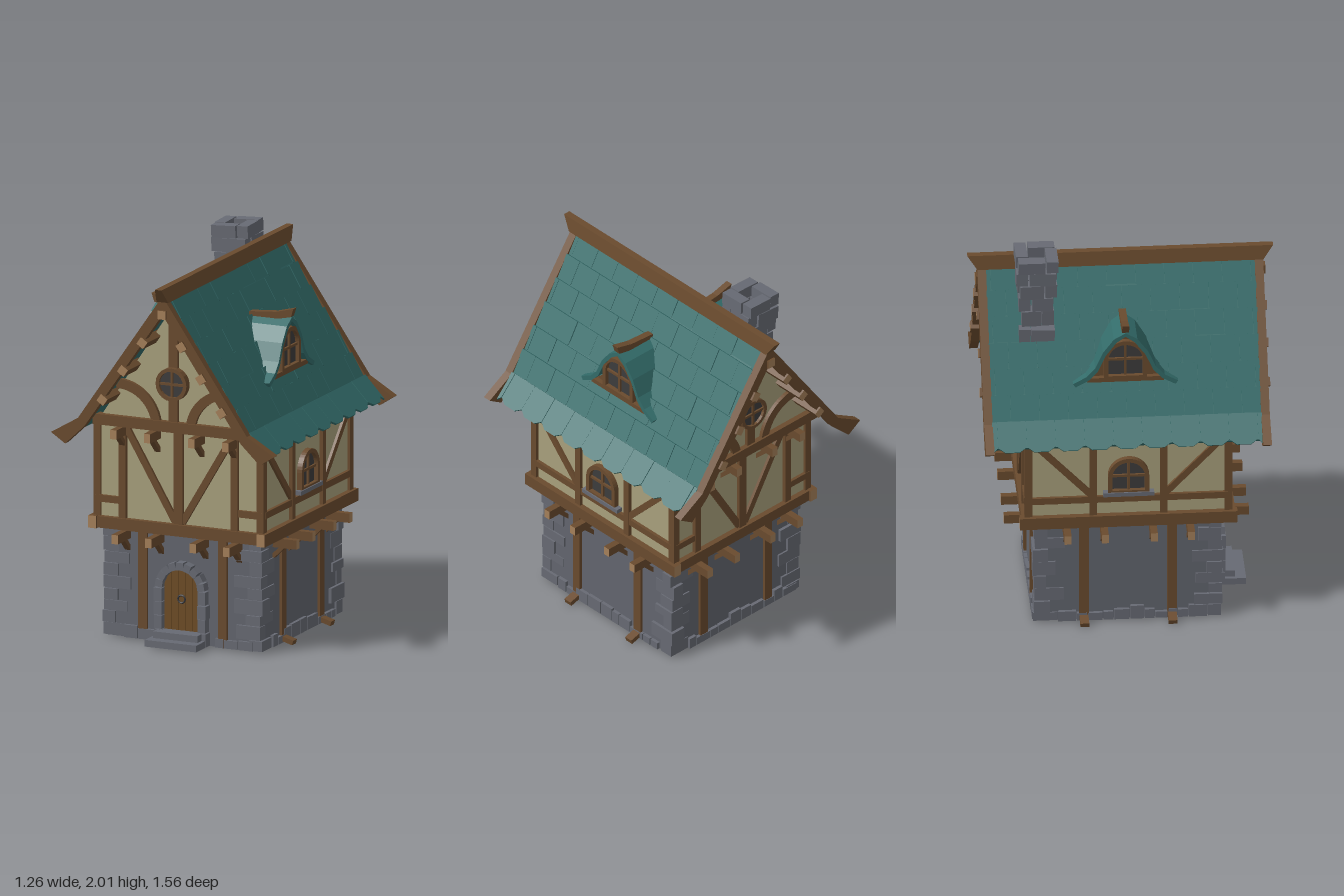
import * as THREE from 'three';

const mat = (name, color, side = THREE.FrontSide) => {
  const m = new THREE.MeshStandardMaterial({ color, side });
  m.name = name;
  return m;
};
const wood = mat('dark timber', 0x6a4b2e), cut = mat('cut timber', 0xa5805a), plaster = mat('plaster', 0xa8a07c);
const stone = mat('stone blocks', 0x676a73), wall = mat('stone wall', 0x62656e), tile = mat('teal tiles', 0x336c6a);
const glass = mat('dark glass', 0x3d3c3c), plank = mat('door planks', 0x6e4c24), iron = mat('iron', 0x34353a);

let seed = 7;
const rnd = (a, b) => {
  seed = (seed * 16807) % 2147483647;
  return a + (b - a) * (seed / 2147483647);
};
const add = (g, name, geo, m, x = 0, y = 0, z = 0) => {
  const o = new THREE.Mesh(geo, m);
  o.name = name;
  o.position.set(x, y, z);
  g.add(o);
  return o;
};
const box = (g, name, m, w, h, d, x, y, z) => add(g, name, new THREE.BoxGeometry(w, h, d), m, x, y, z);
const sub = (g, name, ry = 0) => {
  const s = new THREE.Group();
  s.name = name;
  s.rotation.y = ry;
  g.add(s);
  return s;
};
const shape = pts => new THREE.Shape(pts.map(p => new THREE.Vector2(...p)));
const mirrored = pts => [...pts, ...pts.filter(p => p[0] > 0).reverse().map(([x, y]) => [-x, y])];
const slab = (g, name, s, m, z, depth) =>
  add(g, name, new THREE.ExtrudeGeometry(s, { depth, bevelEnabled: false, curveSegments: 10 }), m, 0, 0, z);
// straight timber between two points of a wall face
const bar = (g, name, a, b, w, z, depth, m = wood) => {
  const dx = b[0] - a[0], dy = b[1] - a[1];
  const o = box(g, name, m, w, Math.hypot(dx, dy), depth, (a[0] + b[0]) / 2, (a[1] + b[1]) / 2, z);
  o.rotation.z = Math.atan2(-dx, dy);
  return o;
};
const arch = (r, y0, yc, path = new THREE.Shape()) => {
  path.moveTo(-r, y0).lineTo(r, y0).lineTo(r, yc).absarc(0, yc, r, 0, Math.PI, false).lineTo(-r, y0);
  return path;
};

// arched window with frame, glass and glazing bars
function archWindow(g, r, y0, yc, z) {
  const frame = arch(r + 0.022, y0, yc);
  frame.holes.push(arch(r, y0 + 0.015, yc, new THREE.Path()));
  slab(g, 'windowFrame', frame, wood, z, 0.03);
  slab(g, 'windowGlass', arch(r, y0 + 0.015, yc), glass, z, 0.008);
  bar(g, 'glazingBar', [0, y0], [0, yc + r], 0.013, z + 0.012, 0.014);
  bar(g, 'glazingBar', [-r, yc], [r, yc], 0.013, z + 0.012, 0.014);
}

// joist ends with slanted braces under an overhang
function joists(g, y, zWall, zOut) {
  for (const x of [-0.315, -0.125, 0.125, 0.315]) {
    box(g, 'joist', [wood, wood, wood, wood, cut, cut], 0.036, 0.048, zOut - zWall + 0.03, x, y, (zWall + zOut - 0.03) / 2);
    box(g, 'joistBrace', wood, 0.03, 0.12, 0.022, x, y - 0.048, zWall + 0.035).rotation.x = 0.8;
  }
}

// ground floor of stone, open underneath
function groundFloor(g) {
  for (const s of [-1, 1]) {
    box(g, 'stoneWall', wall, 0.04, 0.57, 0.92, s * 0.415, 0.285, 0);
    box(g, 'stoneWall', wall, 0.86, 0.57, 0.04, 0, 0.285, s * 0.45);
    for (const t of [-1, 1]) {
      let y = 0, i = s === t ? 0 : 1;
      while (y < 0.55) {
        const h = Math.min(rnd(0.05, 0.085), 0.565 - y);
        const lx = i % 2 ? rnd(0.11, 0.16) : rnd(0.06, 0.09), lz = i % 2 ? rnd(0.06, 0.09) : rnd(0.11, 0.16);
        const ox = rnd(0.438, 0.452), oz = rnd(0.472, 0.488);
        box(g, 'cornerStone', stone, lx, h - 0.004, lz, s * (ox - lx / 2), y + h / 2, t * (oz - lz / 2));
        y += h;
        i++;
      }
    }
  }
  for (let k = 0; k < 4; k++) {
    const face = sub(g, 'groundFace', k * Math.PI / 2), side = k % 2, d = side ? 0.435 : 0.47, half = side ? 0.36 : 0.33;
    for (const x of [-0.225, 0.225]) {
      bar(face, 'groundPost', [x, 0], [x, 0.57], 0.05, d, 0.03);
      if (side) box(face, 'postFoot', wood, 0.045, 0.025, 0.08, x, 0.0145, d + 0.035).rotation.x = 0.28;
    }
    for (let x = -half; x < half;) {
      const w = rnd(0.05, 0.1), h = rnd(0.035, 0.075), c = x + w / 2;
      if (k !== 0 || Math.abs(c) > 0.19) box(face, 'footingStone', stone, w - 0.005, h, 0.035, c, h / 2, d);
      x += w;
    }
    joists(face, 0.542, d - 0.01, side ? 0.57 : 0.625);
  }
}

// arched door with stone surround and steps
function entrance(g) {
  const yc = 0.29, z = 0.47, top = x => yc + Math.sqrt(Math.max(0, 0.01 - x * x));
  slab(g, 'doorBack', arch(0.1, 0.06, yc), iron, z, 0.008);
  for (let i = 0; i < 5; i++) {
    const a = -0.1 + i * 0.04 + 0.0015, b = a + 0.037, m = (a + b) / 2;
    slab(g, 'doorPlank', shape([[a, 0.06], [b, 0.06], [b, top(b)], [m, top(m)], [a, top(a)]]), plank, z, 0.02);
  }
  add(g, 'doorRing', new THREE.TorusGeometry(0.02, 0.005, 6, 14), iron, 0, 0.235, z + 0.024);
  for (let i = 0; i < 9; i++) {
    const t = (i + 0.5) * Math.PI / 9;
    const o = box(g, 'archStone', stone, 0.04, 0.039, 0.055, Math.cos(t) * 0.12, yc + Math.sin(t) * 0.12, 0.485 + rnd(0, 0.01));
    o.rotation.z = t;
  }
  for (const s of [-1, 1]) for (let i = 0; i < 4; i++) {
    const w = rnd(0.036, 0.05);
    box(g, 'jambStone', stone, w, 0.069, 0.055, s * (0.1 + w / 2), 0.036 + i * 0.072, 0.485 + rnd(0, 0.01));
  }
  box(g, 'lowerStep', stone, 0.29, 0.035, 0.16, 0, 0.0175, 0.545);
  box(g, 'upperStep', stone, 0.25, 0.035, 0.11, 0, 0.0525, 0.515);
}

// plastered upper floor and gables
function upperFloor(g) {
  box(g, 'upperWalls', plaster, 0.93, 0.57, 1.03, 0, 0.855, 0);
  slab(g, 'gableWall', shape([[-0.445, 1.125], [0.445, 1.125], [0, 1.8]]), plaster, -0.575, 1.15);
  for (const s of [-1, 1]) {
    box(g, 'sideSill', [wood, wood, wood, wood, cut, cut], 0.045, 0.065, 1.11, s * 0.475, 0.603, 0);
    box(g, 'endSill', wood, 0.93, 0.06, 0.06, 0, 0.604, s * 0.515);
    for (const t of [-1, 1]) box(g, 'cornerPost', wood, 0.04, 0.52, 0.04, s * 0.46, 0.88, t * 0.51);
  }
  for (const ry of [0, Math.PI]) {
    const end = sub(g, 'endFraming', ry), z = 0.52;
    for (const x of [-0.315, 0, 0.315]) bar(end, 'post', [x, 0.63], [x, 1.13], x ? 0.04 : 0.05, z, 0.03);
    for (const s of [-1, 1]) {
      bar(end, 'diagonalBrace', [s * 0.295, 1.11], [s * 0.02, 0.645], 0.036, z, 0.022);
      bar(end, 'shortRail', [s * 0.315, 0.725], [s * 0.47, 0.725], 0.036, z, 0.024);
      const c = new THREE.Shape();
      c.absarc(-0.31, 1.14, 0.24, 0.18, Math.PI / 2 + 0.05, false);
      c.absarc(-0.31, 1.14, 0.19, Math.PI / 2 + 0.05, 0.23, true);
      if (s > 0) slab(end, 'curvedBrace', c, wood, 0.57, 0.025);
      else slab(end, 'curvedBrace', shape(c.getPoints(10).map(p => [-p.x, p.y])), wood, 0.57, 0.025);
    }
    joists(end, 1.095, 0.515, 0.64);
    bar(end, 'gableBeam', [-0.45, 1.158], [0.45, 1.158], 0.055, 0.58, 0.05);
    bar(end, 'kingPost', [0, 1.18], [0, 1.78], 0.05, 0.58, 0.03);
    // round gable window
    const ring = new THREE.Shape().absarc(0, 1.385, 0.087, 0, Math.PI * 2, false);
    ring.holes.push(new THREE.Path().absarc(0, 1.385, 0.068, 0, Math.PI * 2, true));
    slab(end, 'roundFrame', ring, wood, 0.58, 0.04);
    slab(end, 'roundGlass', new THREE.Shape().absarc(0, 1.385, 0.07, 0, Math.PI * 2, false), glass, 0.596, 0.008);
    bar(end, 'glazingBar', [0, 1.315], [0, 1.455], 0.013, 0.607, 0.012);
    bar(end, 'glazingBar', [-0.07, 1.385], [0.07, 1.385], 0.013, 0.607, 0.012);

    const side = sub(g, 'sideFraming', ry + Math.PI / 2), d = 0.47;
    bar(side, 'sideRail', [-0.51, 0.725], [0.51, 0.725], 0.036, d, 0.024);
    for (const s of [-1, 1]) {
      bar(side, 'sidePost', [s * 0.18, 0.63], [s * 0.18, 1.13], 0.038, d, 0.028);
      bar(side, 'sideBrace', [s * 0.51, 1.09], [s * 0.19, 0.75], 0.034, d, 0.02);
    }
    archWindow(side, 0.083, 0.765, 0.86, 0.464);
    box(side, 'windowSill', stone, 0.26, 0.022, 0.045, 0, 0.759, 0.478);
  }
}

// one roof slope with overlapping tiles and a dormer
function roofSlope(g) {
  const path = [];
  for (let i = 0; i <= 6; i++) path.push([0.463 * i / 6, 1.855 - 0.665 * i / 6]);
  path.push([0.57, 1.095]);
  const pitch = 0.1475;
  for (let r = 0; r < 7; r++) {
    const [x0, y0] = path[r], [x1, y1] = path[r + 1], len = Math.hypot(x1 - x0, y1 - y0);
    const d = new THREE.Vector3(x1 - x0, y1 - y0, 0).normalize(), n = new THREE.Vector3(-d.y, d.x, 0);
    const row = sub(g, 'tileRow');
    row.position.set(x0, y0, 0);
    row.quaternion.setFromRotationMatrix(new THREE.Matrix4().makeBasis(new THREE.Vector3(0, 0, -1), d.clone().negate(), n));
    row.rotateX(0.09);
    for (let i = -5; i <= 5; i++) {
      const c = (i + (r % 2) / 2) * pitch, w = pitch / 2 - 0.001;
      const k = x => Math.max(-0.688, Math.min(0.688, x));
      if (k(c + w) - k(c - w) < 0.01) continue;
      const lo = -len - 0.02;
      slab(row, 'roofTile', shape([[k(c - w), 0], [k(c - w), lo + 0.026], [k(c - w / 2), lo], [k(c + w / 2), lo],
        [k(c + w), lo + 0.026], [k(c + w), 0]]), tile, 0, rnd(0.009, 0.013));
    }
  }
  // dormer, modelled facing +z and turned outwards
  const dm = sub(g, 'dormer', Math.PI / 2);
  const bell = [[0, 1.64], [0.06, 1.605], [0.115, 1.53], [0.155, 1.44], [0.2, 1.39], [0.268, 1.352]];
  const inner = bell.map(([x, y]) => [Math.max(0, x - 0.013), y - 0.02]).reverse();
  const mir = p => p.map(([x, y]) => [-x, y]);
  slab(dm, 'dormerRoof', shape([...mir(bell).reverse(), ...bell.slice(1), ...inner, ...mir(inner).reverse().slice(1)]), tile, 0.1, 0.283);
  slab(dm, 'dormerFace', shape(mirrored([[0, 1.605], [0.055, 1.58], [0.1, 1.51], [0.135, 1.42], [0.2, 1.355]])), wood, 0.2, 0.155);
  archWindow(dm, 0.088, 1.375, 1.482, 0.352);
  box(dm, 'dormerSill', wood, 0.39, 0.024, 0.05, 0, 1.368, 0.355);
  slab(g, 'dormerRidge', shape([[0.15, 1.615], [0.28, 1.622], [0.385, 1.645], [0.4, 1.69], [0.3, 1.664], [0.15, 1.652]]), wood, -0.018, 0.036);
}

function roof(g) {
  for (const ry of [0, Math.PI]) {
    roofSlope(sub(g, 'roofSlope', ry));
    const end = sub(g, 'roofEnd', ry);
    slab(end, 'bargeboard', shape([...[[0, 1.872], [0.476, 1.185], [0.628, 1.095], [0.548, 1.043], [0.44, 1.145], [0, 1.775]],
      ...[[-0.44, 1.145], [-0.548, 1.043], [-0.628, 1.095], [-0.476, 1.185]]]), wood, 0.685, 0.044);
    for (const x of [-0.335, -0.22, -0.11, 0, 0.11, 0.22, 0.335]) {
      const o = box(end, 'purlinEnd', [wood, wood, wood, wood, cut, cut], 0.045, 0.045, 0.19, x, 1.775 - Math.abs(x) * 1.43, 0.645);
      o.rotation.z = -Math.sign(x) * 0.96;
    }
  }
  slab(g, 'roofDeck', shape([[0, 1.852], [0.46, 1.188], [0.565, 1.093], [0.55, 1.075], [0.445, 1.165], [0, 1.81],
    [-0.445, 1.165], [-0.55, 1.075], [-0.565, 1.093], [-0.46, 1.188]]), tile, -0.687, 1.374);
  // ridge beam, narrower on top and longer above than below
  const beam = new THREE.BoxGeometry(0.066, 0.075, 1.56), p = beam.attributes.position;
  for (let i = 0; i < p.count; i++) {
    if (p.getY(i) > 0) p.setX(i, p.getX(i) * 0.55);
    else p.setZ(i, p.getZ(i) * 0.935);
  }
  beam.computeVertexNormals();
  add(g, 'ridgeBeam', beam, wood, 0, 1.878, 0);
}

// crooked hollow chimney of stacked stones
function chimney(g) {
  const rows = [[1.4, 0.1, -0.15], [1.5, 0.092, -0.145], [1.6, 0.082, -0.122], [1.69, 0.085, -0.123],
    [1.77, 0.092, -0.128], [1.85, 0.099, -0.133], [1.925, 0.1, -0.134], [1.993, 0, 0]];
  for (let i = 0; i < 7; i++) {
    const [y, r, x] = rows[i], h = rows[i + 1][0] - y, t = 0.06, f = i % 2 ? 1 : -1;
    const ring = sub(g, 'chimneyCourse');
    ring.position.set(x, y + h / 2, -0.438);
    ring.rotation.set(rnd(-0.02, 0.02), rnd(-0.05, 0.05), 0.05);
    for (let k = 0; k < 4; k++) {
      const arm = sub(ring, 'chimneySide', k * Math.PI / 2);
      box(arm, 'chimneyStone', stone, 2 * r - t - 0.004, h - 0.003, t, f * t / 2, 0, r - t / 2 + rnd(0, 0.008));
    }
  }
}

export function createModel() {
  const model = new THREE.Group();
  model.name = 'timberHouse';
  const body = sub(model, 'body');
  body.position.z = 0.008;
  groundFloor(sub(body, 'groundFloor'));
  entrance(sub(body, 'entrance'));
  upperFloor(sub(body, 'upperFloor'));
  roof(sub(model, 'roof'));
  chimney(sub(model, 'chimney'));
  return model;
}
